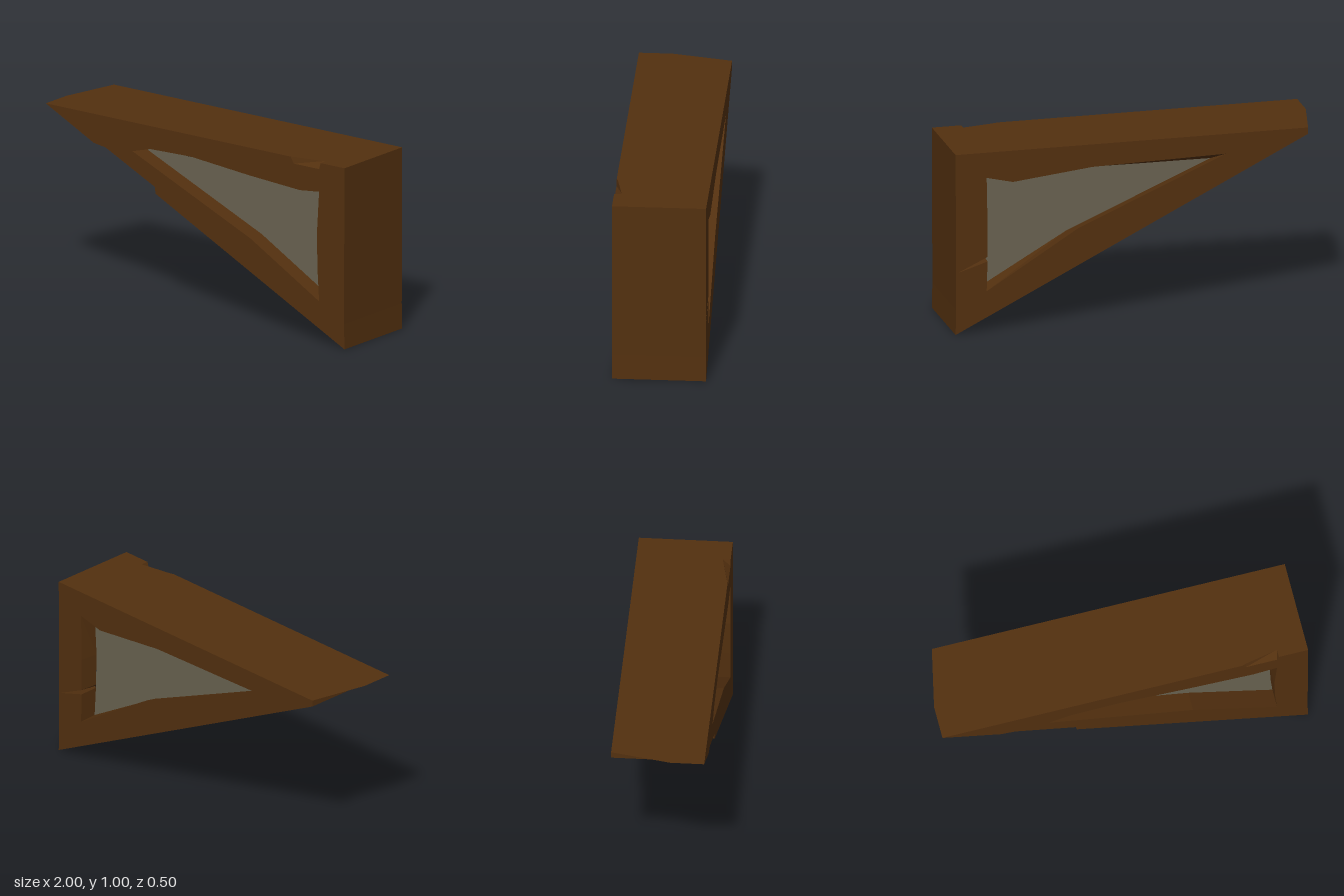
import * as THREE from 'three';

const wood = new THREE.MeshStandardMaterial({ color: 0x53300f });
wood.name = 'dark wood';
const infill = new THREE.MeshStandardMaterial({ color: 0x696250 });
infill.name = 'grey infill';

// Put a 2D outline at depth z; a third coordinate overrides the depth
const ring = (pts, z) => pts.map(([x, y, pz]) => new THREE.Vector3(x, y, pz ?? z));

// Flat-shaded skin through successive closed rings
function loft(rings) {
  const pos = [];
  const tri = (...v) => v.forEach((p) => pos.push(p.x, p.y, p.z));
  for (let r = 0; r < rings.length - 1; r++) {
    const a = rings[r], b = rings[r + 1];
    a.forEach((p, i) => {
      const j = (i + 1) % a.length;
      tri(p, b[i], a[j]);
      tri(a[j], b[i], b[j]);
    });
  }
  const g = new THREE.BufferGeometry();
  g.setAttribute('position', new THREE.Float32BufferAttribute(pos, 3));
  g.computeVertexNormals();
  return g;
}

const toPath = (pts) => pts.map(([x, y]) => new THREE.Vector2(x, y));

// Flat face of the frame with its opening
function cap(outer, hole, z, back) {
  const s = new THREE.Shape(toPath(outer));
  s.holes.push(new THREE.Path(toPath(hole)));
  const g = new THREE.ShapeGeometry(s).translate(0, 0, z);
  if (back) {
    g.setIndex(Array.from(g.index.array).reverse());
    g.computeVertexNormals();
  }
  return g;
}

export function createModel() {
  const group = new THREE.Group();
  const add = (name, geo, mat) => {
    const m = new THREE.Mesh(geo, mat);
    m.name = name;
    group.add(m);
  };
  const D = 0.25, P = 0.15;

  // Outer outline; the front has chipped lower and upper edges
  const outline = (tipX, lower, upper) => [
    [tipX, 1], [-0.93, 0.965], ...lower, [1, 0], [0.997, 0.14], [1, 1], ...upper,
  ];
  const lowerChip = [[-0.68, 0.84], [-0.6, 0.828], [-0.27, 0.67], [-0.265, 0.6325]];
  const lowerWhole = [[-0.68, 0.84], [-0.6, 0.8], [-0.27, 0.635], [-0.265, 0.6325]];
  const upperChip = [[0.84, 1], [0.83, 0.965], [0.66, 0.965], [0.64, 1]];
  const upperWhole = [[0.84, 1], [0.83, 1], [0.66, 1], [0.64, 1]];
  const upperCut = [[0.84, 1, 0.21], [0.83, 1, 0.21], [0.66, 1, 0.243], [0.64, 1, 0.247]];
  const front = outline(-1, lowerChip, upperChip);
  const second = outline(-1, lowerWhole, upperCut);
  const third = outline(-1, lowerWhole, upperWhole);
  const back = outline(-0.93, lowerWhole, upperWhole);
  add('frameOuterSides', loft([ring(front, D), ring(second, 0.2), ring(third, 0.07), ring(back, -D)]), wood);

  // Opening outlines at the front, the infill and the back
  const frontHole = [[-0.42, 0.84], [-0.3, 0.873], [-0.03, 0.88], [0.36, 0.847], [0.7, 0.826],
    [0.83, 0.84], [0.815, 0.6], [0.82, 0.4], [0.83, 0.235], [0.37, 0.5]];
  const inner = [[-0.42, 0.84], [-0.3, 0.841], [-0.03, 0.842], [0.36, 0.845], [0.7, 0.825],
    [0.83, 0.84], [0.815, 0.6], [0.82, 0.4], [0.83, 0.235], [0.37, 0.5]];
  // The back opening has a narrow split in its upright side
  const backHole = [[-0.48, 0.89], [-0.25, 0.885], [0.01, 0.88], [0.25, 0.875], [0.686, 0.826],
    [0.83, 0.86], [0.825, 0.6], [0.825, 0.42], [0.99, 0.343], [0.825, 0.395], [0.83, 0.23], [0.33, 0.54]];
  const innerBack = [...inner.slice(0, 7), [0.82, 0.42], [0.825, 0.41], [0.82, 0.4], ...inner.slice(8)];
  add('openingFrontWall', loft([ring(frontHole, D), ring(inner, P)]), wood);
  add('openingBackWall', loft([ring(innerBack, -P), ring(backHole, -D)]), wood);
  add('frameFront', cap(front, frontHole, D, false), wood);
  add('frameBack', cap(back, backHole, -D, true), wood);

  // Recessed infill panel
  const panel = new THREE.ExtrudeGeometry(new THREE.Shape(toPath(inner)), { depth: 2 * P, bevelEnabled: false });
  add('infillPanel', panel.translate(0, 0, -P), infill);
  return group;
}
